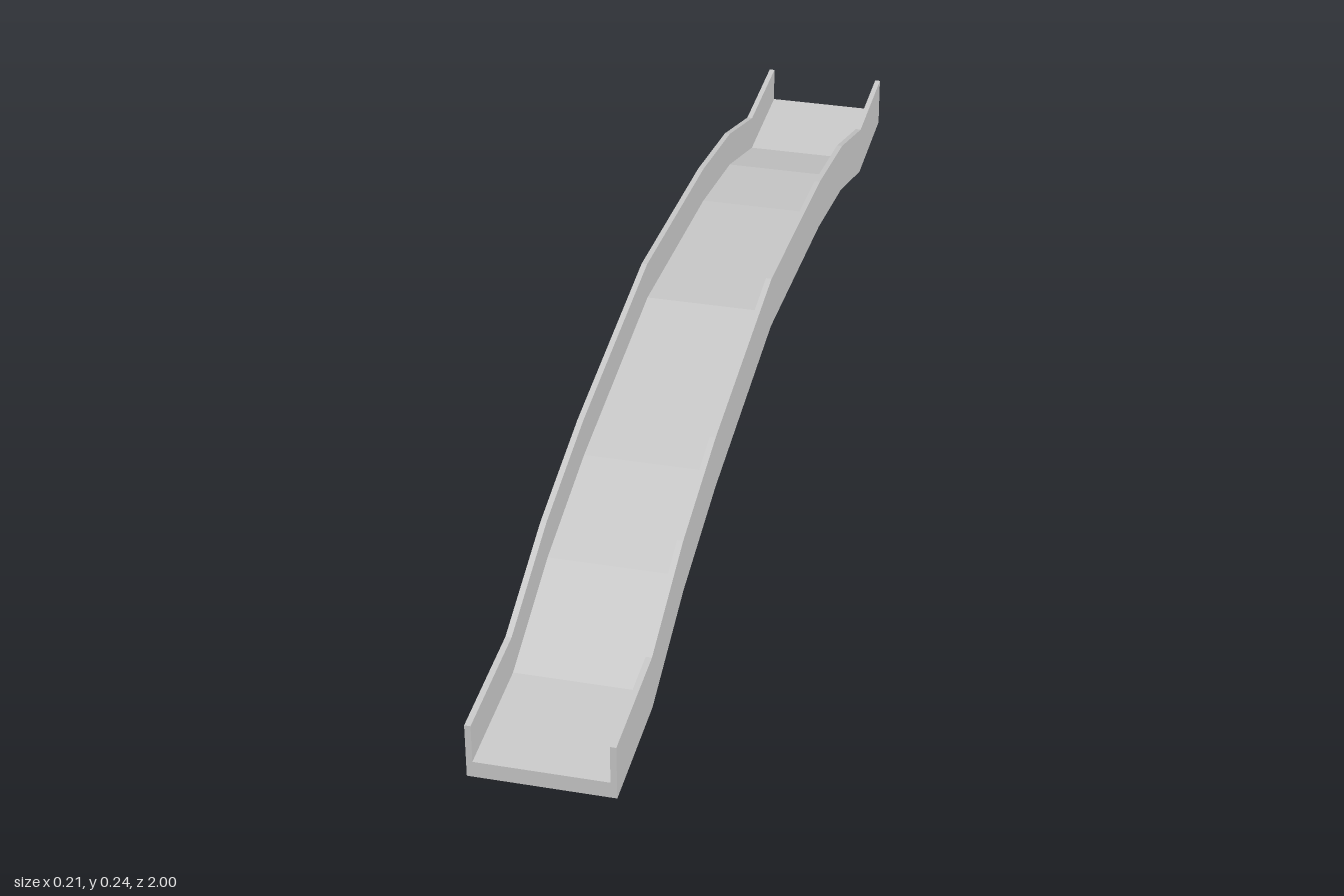
import * as THREE from 'three';

// Underside of one half of the arch: [distance from the middle, height]
const half = [[0, 0.148], [0.4, 0.107], [0.61, 0.066], [0.8, 0], [1, 0]];
const underside = [...half.slice(1).reverse().map(([z, y]) => [-z, y]), ...half];

const HALF_WIDTH = 0.106, WALL = 0.009, WALL_HEIGHT = 0.088, DECK_HEIGHT = 0.026;

export function createModel() {
  const group = new THREE.Group();
  group.name = 'archedBridge';
  const material = new THREE.MeshStandardMaterial({ color: 0xcccccc, flatShading: true });

  // A band following the arch, of the given height, between x0 and x1
  function addBand(name, height, x0, x1) {
    const upper = underside.map(([z, y]) => [z, y + height]).reverse();
    const shape = new THREE.Shape([...underside, ...upper].map(([z, y]) => new THREE.Vector2(z, y)));
    const geometry = new THREE.ExtrudeGeometry(shape, { depth: x1 - x0, bevelEnabled: false });
    geometry.rotateY(-Math.PI / 2).translate(x1, 0, 0);
    const mesh = new THREE.Mesh(geometry, material);
    mesh.name = name;
    group.add(mesh);
  }

  const inner = HALF_WIDTH - WALL;
  addBand('deck', DECK_HEIGHT, -inner, inner);
  addBand('leftWall', WALL_HEIGHT, inner, HALF_WIDTH);
  addBand('rightWall', WALL_HEIGHT, -HALF_WIDTH, -inner);

  return group;
}
